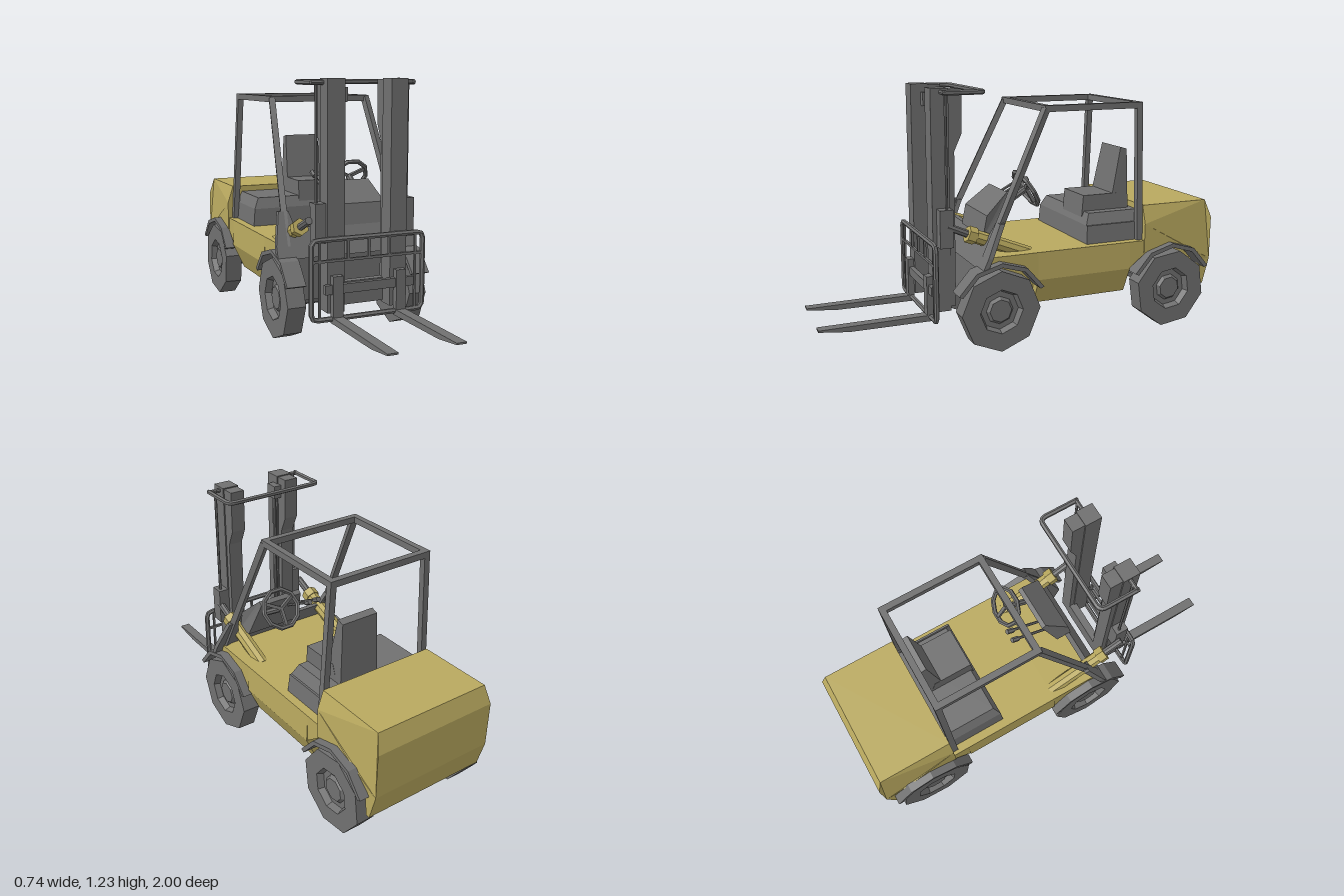
import * as THREE from 'three';

const grey = new THREE.MeshStandardMaterial({ color: 0x707070 });
grey.name = 'frameGrey';
const yellow = new THREE.MeshStandardMaterial({ color: 0xb9a95f });
yellow.name = 'bodyYellow';

const V = (x, y, z) => new THREE.Vector3(x, y, z);

// Faceted normals for every part
function facet(geo) {
  const g = geo.index ? geo.toNonIndexed() : geo;
  g.computeVertexNormals();
  return g;
}

// Extrude an [x, y] outline along z, from z0 to z1
function slab(points, z0, z1) {
  const shape = new THREE.Shape(points.map(p => new THREE.Vector2(p[0], p[1])));
  const g = new THREE.ExtrudeGeometry(shape, { depth: z1 - z0, bevelEnabled: false });
  return g.translate(0, 0, z0);
}

// Extrude a [z, y] side outline across x, from x0 to x1
const across = (points, x0, x1) => slab(points, -x1, -x0).rotateY(-Math.PI / 2);

// Box given by its limits
const block = (x0, x1, y0, y1, z0, z1) =>
  new THREE.BoxGeometry(x1 - x0, y1 - y0, z1 - z0)
    .translate((x0 + x1) / 2, (y0 + y1) / 2, (z0 + z1) / 2);

// Lay a y-aligned geometry of the right length between two points
function between(geo, a, b) {
  const dir = b.clone().sub(a).normalize();
  geo.applyQuaternion(new THREE.Quaternion().setFromUnitVectors(V(0, 1, 0), dir));
  const m = a.clone().add(b).multiplyScalar(0.5);
  return geo.translate(m.x, m.y, m.z);
}
const bar = (a, b, w, d = w) => between(new THREE.BoxGeometry(w, a.distanceTo(b), d), a, b);
const rod = (a, b, r, n = 8) => between(new THREE.CylinderGeometry(r, r, a.distanceTo(b), n), a, b);

// Move each vertex by a rule
function warp(geo, rule) {
  const p = geo.attributes.position, v = new THREE.Vector3();
  for (let i = 0; i < p.count; i++) {
    rule(v.fromBufferAttribute(p, i));
    p.setXYZ(i, v.x, v.y, v.z);
  }
  return geo;
}

// Tube through straight runs with clipped corners
function tube(points, r, closed = false) {
  const path = new THREE.CurvePath();
  const n = points.length;
  const cut = (a, b) => a.clone().add(b.clone().sub(a).setLength(0.03));
  let start = closed ? cut(points[0], points[1]) : points[0];
  for (let i = 1; i < (closed ? n + 1 : n); i++) {
    const p = points[i % n], last = !closed && i === n - 1;
    const end = last ? p : cut(p, points[(i - 1) % n]);
    path.add(new THREE.LineCurve3(start, end));
    if (!last) {
      start = cut(p, points[(i + 1) % n]);
      path.add(new THREE.QuadraticBezierCurve3(end, p, start));
    }
  }
  return new THREE.TubeGeometry(path, 80, r, 6, closed);
}

export function createModel() {
  const model = new THREE.Group();
  model.name = 'forkliftTruck';
  const add = (name, geo, mat = grey) => {
    const m = new THREE.Mesh(facet(geo), mat);
    m.name = name;
    model.add(m);
    return m;
  };

  // Hull: tapered belly, deck over the front wheels, narrow core
  add('hull', slab([[-0.27, 0.19], [0.27, 0.19], [0.33, 0.32], [0.325, 0.455],
    [-0.325, 0.455], [-0.33, 0.32]], -0.52, -0.02), yellow);
  add('frontDeck', across([[0.23, 0.455], [-0.02, 0.455], [-0.02, 0.31], [0.02, 0.36],
    [0.1, 0.4], [0.18, 0.41], [0.25, 0.4]], -0.325, 0.325), yellow);
  add('rearDeck', across([[-0.52, 0.455], [-0.61, 0.455], [-0.61, 0.39], [-0.52, 0.32]], -0.325, 0.325), yellow);
  add('frontCore', block(-0.265, 0.265, 0.19, 0.45, -0.02, 0.22), yellow);
  add('rearCore', block(-0.24, 0.24, 0.31, 0.5, -0.94, -0.52), yellow);
  add('frontPlate', block(-0.265, 0.265, 0.19, 0.43, 0.22, 0.25));

  // Counterweight with wheel arch and narrowed top and tail
  const weight = across([[-0.6, 0.54], [-0.6, 0.39], [-0.66, 0.41], [-0.745, 0.42], [-0.85, 0.4],
    [-0.93, 0.32], [-0.945, 0.19], [-0.965, 0.19], [-1, 0.32], [-1, 0.54], [-0.97, 0.63],
    [-0.6, 0.63]], -0.33, 0.33);
  add('counterweight', warp(weight, v => {
    if (v.y > 0.6) v.x *= 0.91;
    else if (v.z < -0.9) v.x *= 0.97;
  }), yellow);

  // Wheels, mudguards and axles
  const wheelProfile = [[0, 0.27], [0.197, 0.27], [0.197, 0.36], [0.108, 0.36], [0.095, 0.33],
    [0.068, 0.33], [0.055, 0.345], [0, 0.345]].map(p => new THREE.Vector2(p[0], p[1]));
  for (const [end, z, turn] of [['front', 0.18, 0], ['rear', -0.745, -0.25]]) {
    const arc = [];
    for (let i = 0; i < 10; i++) {
      const r = i < 5 ? 0.235 : 0.214;
      const a = (25 + 32.5 * (i < 5 ? i : 9 - i)) * Math.PI / 180;
      arc.push([z + r * Math.cos(a), 0.2 + r * Math.sin(a)]);
    }
    for (const s of [1, -1]) {
      const g = new THREE.LatheGeometry(wheelProfile, 8).rotateZ(-Math.PI / 2);
      if (s < 0) g.rotateY(Math.PI);
      add(end + 'Wheel', g.rotateX(turn).translate(0, 0.198, z));
      add(end + 'Mudguard', across(arc, s > 0 ? 0.275 : -0.368, s > 0 ? 0.368 : -0.275));
    }
    add(end + 'Axle', rod(V(-0.28, 0.2, z), V(0.28, 0.2, z), 0.05));
  }

  // Slanted front bulkhead with raised ends
  add('bulkhead', warp(slab([[-0.365, 0.4], [0.365, 0.4], [0.362, 0.46], [0.325, 0.61], [0.275, 0.61],
    [0.255, 0.535], [-0.255, 0.535], [-0.275, 0.61], [-0.325, 0.61], [-0.362, 0.46]], 0, 0.025),
  v => { v.z += 0.15 + (0.61 - v.y) * 0.48; }));

  // Dashboard, levers and steering wheel
  add('dashboard', warp(across([[0.22, 0.53], [0.2, 0.63], [0.085, 0.73], [0.065, 0.715], [0.14, 0.53]], -0.14, 0.14),
    v => { v.x = 0.072 + v.x * (v.y > 0.7 ? 0.84 : 1.07); }));
  for (const x of [-0.037, 0.013]) {
    add('lever', rod(V(x, 0.64, 0.12), V(x, 0.745, -0.08), 0.007, 6));
    add('leverKnob', rod(V(x, 0.735, -0.065), V(x, 0.755, -0.1), 0.013, 6));
  }
  const hub = V(0.14, 0.73, -0.035);
  const axis = V(0, 0.11, -0.18).normalize();
  const tilt = new THREE.Quaternion().setFromUnitVectors(V(0, 0, 1), axis);
  add('steeringWheel', new THREE.TorusGeometry(0.096, 0.012, 6, 10).applyQuaternion(tilt).translate(hub.x, hub.y, hub.z));
  for (let i = 0; i < 3; i++) {
    const a = Math.PI / 2 + i * Math.PI * 2 / 3;
    const rim = V(Math.cos(a) * 0.095, Math.sin(a) * 0.095, 0).applyQuaternion(tilt).add(hub);
    add('steeringSpoke', bar(hub, rim, 0.016));
  }
  add('steeringColumn', rod(hub, hub.clone().addScaledVector(axis, -0.2), 0.016));

  // Engine hood and seat
  add('engineHood', warp(across([[-0.3, 0.455], [-0.305, 0.545], [-0.6, 0.545], [-0.6, 0.455]], -0.275, 0.275),
    v => { if (v.y < 0.5) v.x *= 1.03; }));
  add('hoodTop', warp(block(-0.275, 0.265, 0.545, 0.6, -0.6, -0.305),
    v => { if (v.y > 0.57) { v.x *= 0.9; v.z = Math.min(v.z, -0.33); } }));
  add('seatCushion', across([[-0.315, 0.545], [-0.325, 0.68], [-0.52, 0.68], [-0.57, 0.545]], -0.02, 0.19));
  add('seatBack', warp(across([[-0.485, 0.66], [-0.535, 0.91], [-0.57, 0.9], [-0.58, 0.58], [-0.5, 0.58]], -0.02, 0.19),
    v => { if (v.y > 0.85) v.x = 0.085 + (v.x - 0.085) * 0.9; }));

  // Overhead guard
  for (const s of [1, -1]) {
    add('frontPillar', bar(V(s * 0.255, 1.125, -0.085), V(s * 0.305, 0.45, 0.235), 0.03));
    add('rearPillar', bar(V(s * 0.255, 1.125, -0.585), V(s * 0.292, 0.455, -0.585), 0.03));
    add('roofRail', block(s * 0.255 - 0.015, s * 0.255 + 0.015, 1.11, 1.14, -0.6, -0.075));
  }
  for (const z of [-0.09, -0.585]) add('roofCrossbar', block(-0.255, 0.255, 1.11, 1.14, z - 0.015, z + 0.015));

  // Mast columns, brackets, tie rods and tilt cylinders
  for (const s of [1, -1]) {
    const x0 = s > 0 ? 0.115 : -0.2;
    add('mastColumn', block(x0, x0 + 0.085, 0.18, 1.23, 0.375, 0.46));
    add('mastUpperColumn', across([[0.376, 1.225], [0.31, 1.225], [0.312, 1.02], [0.348, 0.94],
      [0.35, 0.2], [0.376, 0.2]], x0 + 0.006, x0 + 0.079));
    add('mastBracket', block(s > 0 ? 0.2 : -0.25, s > 0 ? 0.25 : -0.2, 0.5, 0.68, 0.375, 0.44));
    add('mastTieRod', rod(V(s * 0.23, 0.55, 0.4), V(s * 0.23, 1.22, 0.4), 0.007, 6));

    const x = s > 0 ? 0.235 : -0.265;
    add('tiltCylinder', rod(V(x, 0.43, -0.01), V(x, 0.555, 0.3), 0.033), yellow);
    add('tiltCylinderHead', rod(V(x, 0.541, 0.265), V(x, 0.557, 0.305), 0.041, 6), yellow);
    add('tiltRod', rod(V(x, 0.555, 0.3), V(x, 0.6, 0.4), 0.018));
  }
  add('mastTopLoop', tube([V(-0.255, 1.212, 0.42), V(-0.255, 1.212, 0.22),
    V(0.255, 1.212, 0.22), V(0.255, 1.212, 0.42)], 0.012));
  for (const s of [1, -1]) add('mastTopPin', rod(V(s * 0.19, 1.212, 0.41), V(s * 0.26, 1.212, 0.41), 0.011));
  add('mastLowerTie', block(-0.13, 0.13, 0.19, 0.3, 0.35, 0.39));
  add('liftRod', rod(V(-0.1, 0.24, 0.38), V(-0.1, 1.16, 0.38), 0.01));
  add('liftPulley', block(-0.12, -0.08, 1.125, 1.19, 0.345, 0.41));

  // Load backrest and carriage
  add('backrestFrame', tube([V(-0.285, 0.157, 0.472), V(0.28, 0.157, 0.472),
    V(0.28, 0.522, 0.472), V(-0.285, 0.522, 0.472)], 0.0125, true));
  add('backrestRail', bar(V(-0.285, 0.425, 0.472), V(0.28, 0.425, 0.472), 0.012));
  for (const x of [-0.105, 0, 0.105]) add('backrestBar', bar(V(x, 0.425, 0.472), V(x, 0.522, 0.472), 0.012));
  for (const x of [-0.245, 0.24]) add('backrestUpright', bar(V(x, 0.157, 0.472), V(x, 0.522, 0.472), 0.01));
  add('carriageBar', block(-0.22, 0.23, 0.272, 0.315, 0.458, 0.482));

  // Forks: upright shank and tapering blade in one side outline
  for (const x of [-0.16, 0.16]) {
    add('fork', across([[0.46, 0.355], [0.46, 0.135], [0.86, 0.138], [1, 0.155], [1, 0.163],
      [0.49, 0.165], [0.49, 0.355]], x - 0.025, x + 0.025));
  }
  return model;
}
